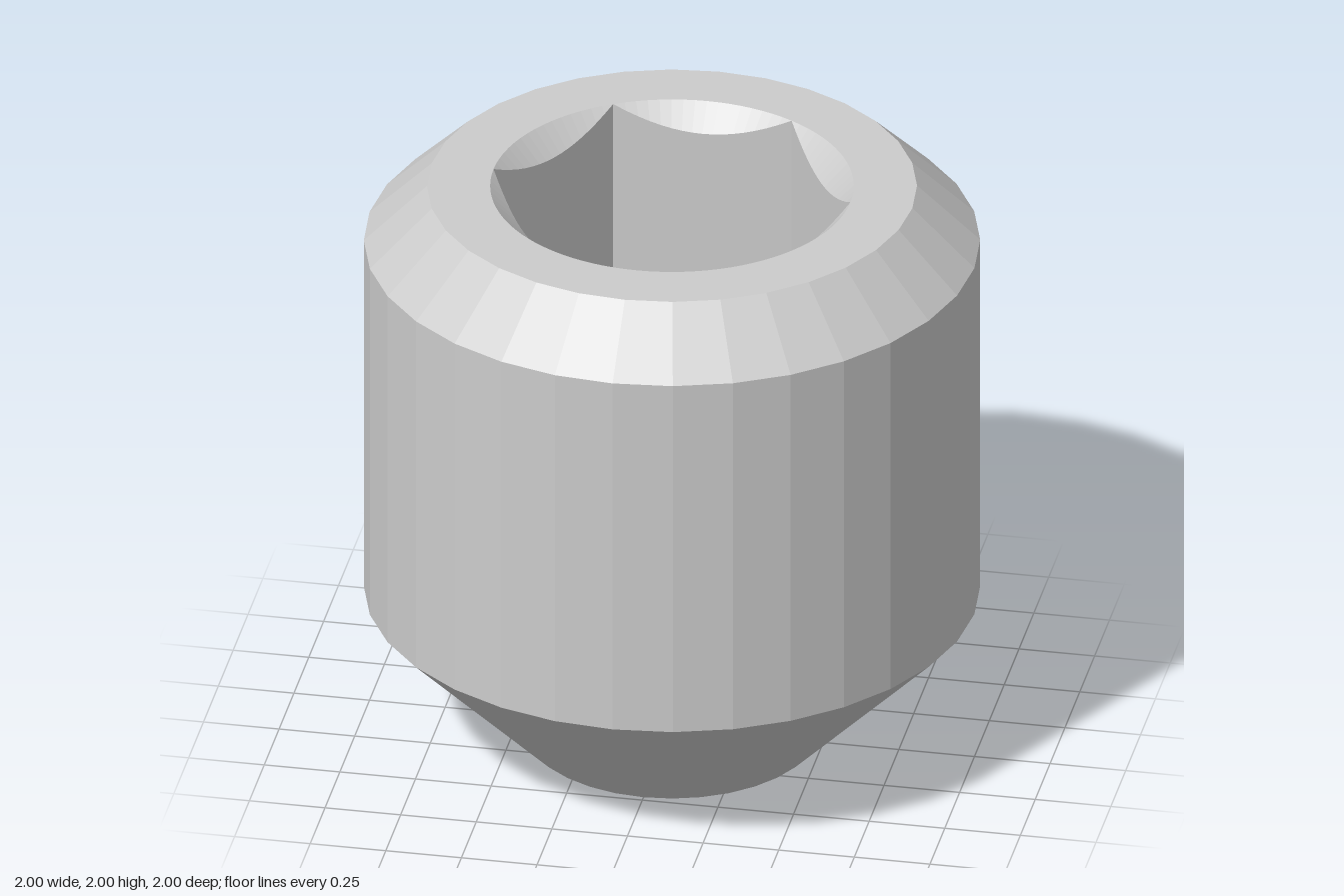
import * as THREE from 'three';

const SIDES = 32;      // facets of the body
const STEPS = 96;      // shared by the 32 facets and the 6 flats
const TOP = 2, LIP = 0.795, SOCKET = 0.59, FLOOR = 1.0;

// Radius of a regular polygon at angle t, with corner radius r and a flat centred at angle mid
function polygonRadius(r, n, t, mid) {
  const step = (Math.PI * 2) / n;
  const d = t - mid - Math.round((t - mid) / step) * step;
  return (r * Math.cos(Math.PI / n)) / Math.cos(d);
}

// Skin a list of rings; each ring maps an angle to [radius, height]
function loft(rings) {
  const pos = [], index = [];
  for (const ring of rings) {
    for (let i = 0; i < STEPS; i++) {
      const t = (i / STEPS) * Math.PI * 2;
      const [r, y] = ring(t);
      pos.push(r * Math.sin(t), y, r * Math.cos(t));
    }
  }
  for (let k = 0; k < rings.length - 1; k++) {
    for (let i = 0; i < STEPS; i++) {
      const j = (i + 1) % STEPS;
      const a = k * STEPS + i, b = k * STEPS + j, c = b + STEPS, d = a + STEPS;
      index.push(a, b, c, a, c, d);
    }
  }
  const g = new THREE.BufferGeometry();
  g.setAttribute('position', new THREE.Float32BufferAttribute(pos, 3));
  g.setIndex(index);
  g.computeVertexNormals();
  return g;
}

export function createModel() {
  const group = new THREE.Group();
  group.name = 'setScrew';
  const material = new THREE.MeshStandardMaterial({ color: 0xcccccc, flatShading: true });
  const add = (name, geometry) => {
    const mesh = new THREE.Mesh(geometry, material);
    mesh.name = name;
    group.add(mesh);
  };

  // Conical cup, tapered point, straight shank and top chamfer
  const profile = [[0, 0.277], [0.48, 0], [1, 0.525], [1, 1.8], [LIP, TOP]];
  add('body', new THREE.LatheGeometry(profile.map(([x, y]) => new THREE.Vector2(x, y)), SIDES));

  const lip = (t) => [polygonRadius(LIP, SIDES, t, Math.PI / SIDES), TOP];
  const mouth = () => [SOCKET, TOP];
  const hex = (t) => polygonRadius(SOCKET, 6, t, 0);
  // 45 degree countersink meets the hexagon in a scalloped edge
  const scallop = (t) => [hex(t), TOP - (SOCKET - hex(t))];
  const floorEdge = (t) => [hex(t), FLOOR];
  const floorCentre = () => [0, FLOOR];

  add('topFace', loft([lip, mouth]));
  add('socketCountersink', loft([mouth, scallop]));
  add('hexSocketWalls', loft([scallop, floorEdge]));
  add('hexSocketFloor', loft([floorEdge, floorCentre]));
  return group;
}
